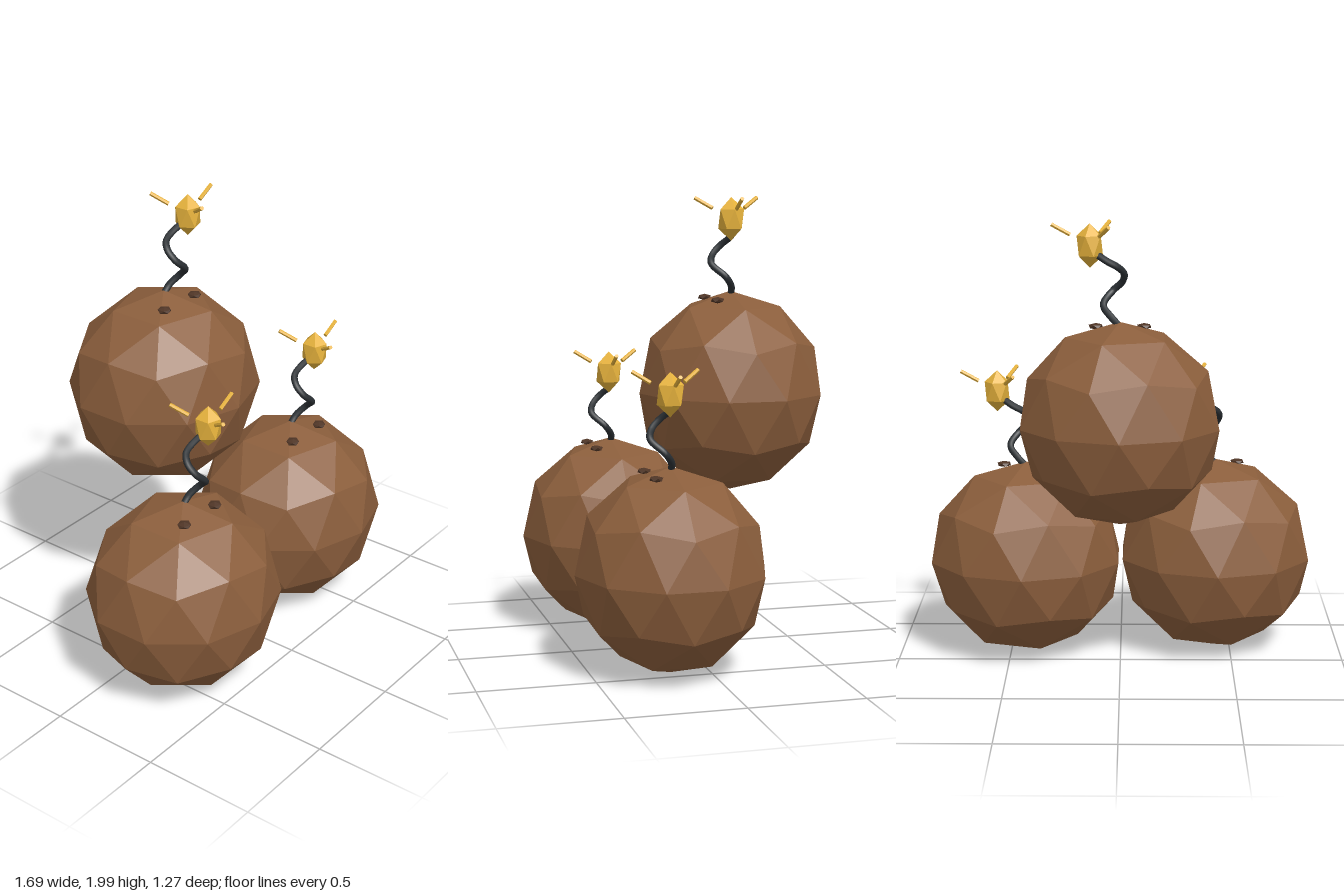
import * as THREE from 'three';

const flat = (color) => new THREE.MeshStandardMaterial({ color, flatShading: true });
const shellMat = flat(0x8b5e3c);
const spotMat = flat(0x4f3526);
const sparkMat = flat(0xe6b23c);
const fuseMat = new THREE.MeshStandardMaterial({ color: 0x2a2f33 });

// Faceted ball standing on a corner, scaled per axis
function gem(rx, ry, rz, detail) {
  return new THREE.IcosahedronGeometry(1, detail)
    .rotateZ(-Math.atan2(2, 1 + Math.sqrt(5)))
    .scale(rx, ry, rz);
}

function add(parent, name, geometry, material, x = 0, y = 0, z = 0) {
  const mesh = new THREE.Mesh(geometry, material);
  mesh.name = name;
  mesh.position.set(x, y, z);
  parent.add(mesh);
  return mesh;
}

// Corkscrew fuse path, relative to the ball centre
const fusePath = new THREE.CatmullRomCurve3([
  [0, 0.42, 0], [0.035, 0.458, 0.005], [0.07, 0.505, 0.04], [0.03, 0.56, 0.094],
  [-0.01, 0.60, 0.078], [-0.017, 0.64, 0.04], [0.01, 0.67, 0.01],
  [0.055, 0.695, 0.007], [0.125, 0.74, 0.035],
].map((p) => new THREE.Vector3(...p)));

function createBomb() {
  const bomb = new THREE.Group();
  add(bomb, 'shell', gem(0.44, 0.44, 0.411, 1), shellMat);
  for (const side of [-1, 1]) {
    add(bomb, 'spot', gem(0.034, 0.014, 0.032, 0), spotMat, side * 0.103, 0.408, 0.088);
  }
  add(bomb, 'fuse', new THREE.TubeGeometry(fusePath, 48, 0.015, 8), fuseMat);

  // Spark with three rays fanning up and out
  const spark = new THREE.Group();
  spark.name = 'spark';
  spark.position.set(0.126, 0.757, 0.035);
  add(spark, 'sparkCore', gem(0.062, 0.093, 0.062, 0), sparkMat);
  for (let i = 0; i < 3; i++) {
    const ray = new THREE.CylinderGeometry(0.009, 0.009, 0.09, 6)
      .rotateZ(-1.07)
      .translate(0.122, 0.067, 0)
      .rotateY((i * Math.PI * 2) / 3);
    add(spark, 'sparkRay', ray, sparkMat);
  }
  bomb.add(spark);
  return bomb;
}

export function createModel() {
  const model = new THREE.Group();
  model.name = 'bombPile';
  const places = [
    ['rightBomb', -0.428, 0.446, 0.222],
    ['leftBomb', 0.428, 0.446, 0.162],
    ['topBomb', 0, 1.14, -0.222],
  ];
  for (const [name, x, y, z] of places) {
    const bomb = createBomb();
    bomb.name = name;
    bomb.position.set(x, y, z);
    model.add(bomb);
  }
  return model;
}
